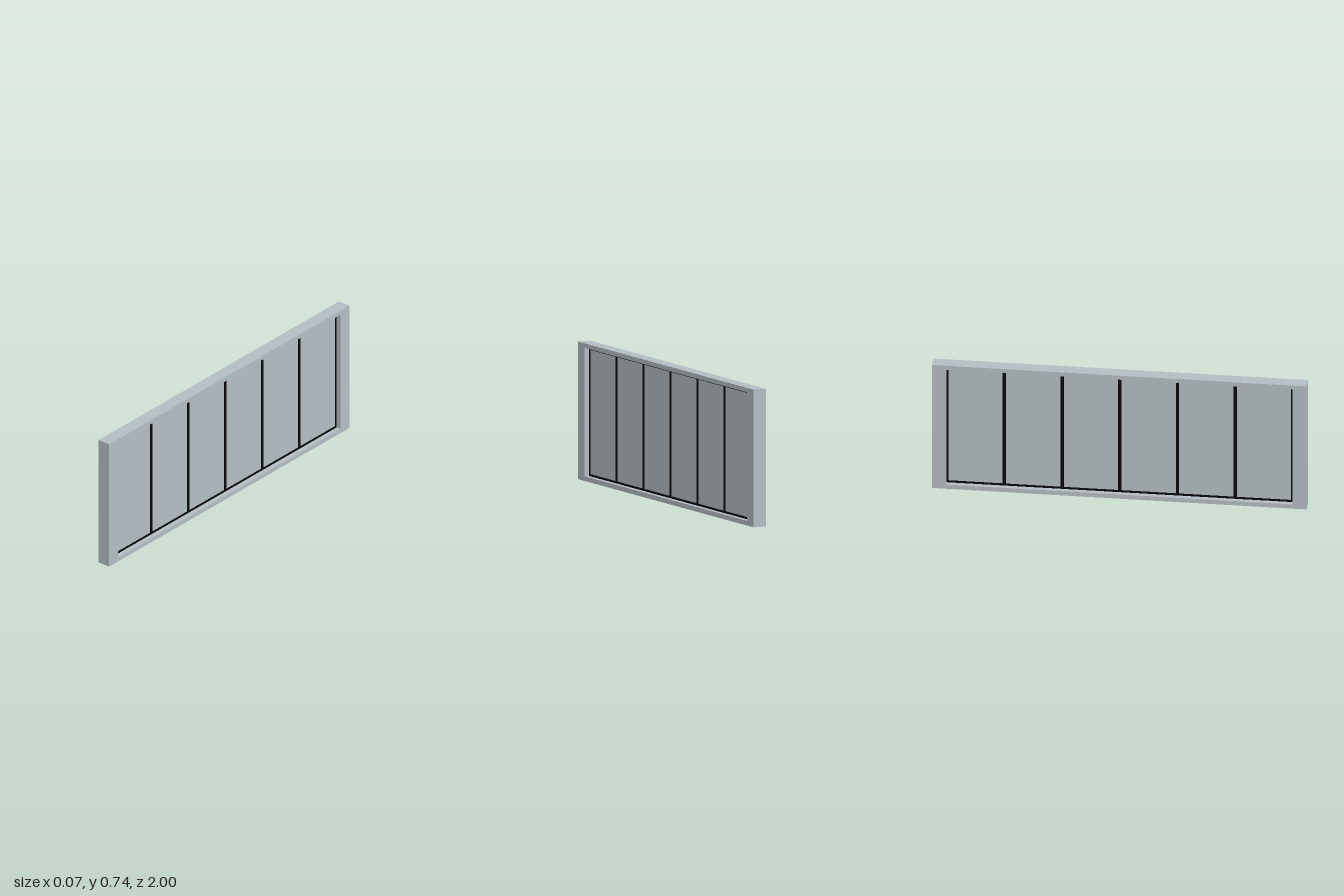
import * as THREE from 'three';

export function createModel() {
  const group = new THREE.Group();
  const steel = new THREE.MeshStandardMaterial({ color: 0xb4bec3 });
  steel.name = 'pale grey';
  const black = new THREE.MeshStandardMaterial({ color: 0x080808 });
  black.name = 'black';

  const H = 0.737, T = 0.073;          // overall height and thickness
  const zIn = 0.926, yLo = 0.025, yHi = 0.713; // opening in the frame
  const midY = (yLo + yHi) / 2, openH = yHi - yLo;

  const box = (name, mat, sx, sy, sz, y, z) => {
    const mesh = new THREE.Mesh(new THREE.BoxGeometry(sx, sy, sz), mat);
    mesh.name = name;
    mesh.position.set(0, y, z);
    group.add(mesh);
  };
  const rect = (Path, x0, y0, x1, y1) => new Path([
    new THREE.Vector2(x0, y0), new THREE.Vector2(x1, y0),
    new THREE.Vector2(x1, y1), new THREE.Vector2(x0, y1), new THREE.Vector2(x0, y0),
  ]);

  // Outer frame: a rectangle with one large opening
  const shape = rect(THREE.Shape, -1, 0, 1, H);
  shape.holes.push(rect(THREE.Path, -zIn, yLo, zIn, yHi));
  const geo = new THREE.ExtrudeGeometry(shape, { depth: T, bevelEnabled: false });
  geo.translate(0, 0, -T / 2).rotateY(Math.PI / 2);
  const frame = new THREE.Mesh(geo, steel);
  frame.name = 'outerFrame';
  group.add(frame);

  // Recessed panel, seen from both sides
  box('panel', steel, 0.013, openH, zIn * 2, midY, 0);

  // Black trim around the panel, standing slightly proud of it
  const trim = 0.011, depth = 0.019;
  box('trimBottom', black, depth, trim, zIn * 2, yLo + trim / 2, 0);
  box('trimTop', black, depth, trim, zIn * 2, yHi - trim / 2, 0);
  for (const s of [-1, 1]) {
    box('trimEnd', black, depth, openH - 2 * trim, trim, midY, s * (zIn - trim / 2));
  }

  // Upright bars dividing the panel into six
  for (let i = -2; i <= 2; i++) {
    box('divider', black, depth, openH - 2 * trim, 0.018, midY, i * 0.308);
  }
  return group;
}
